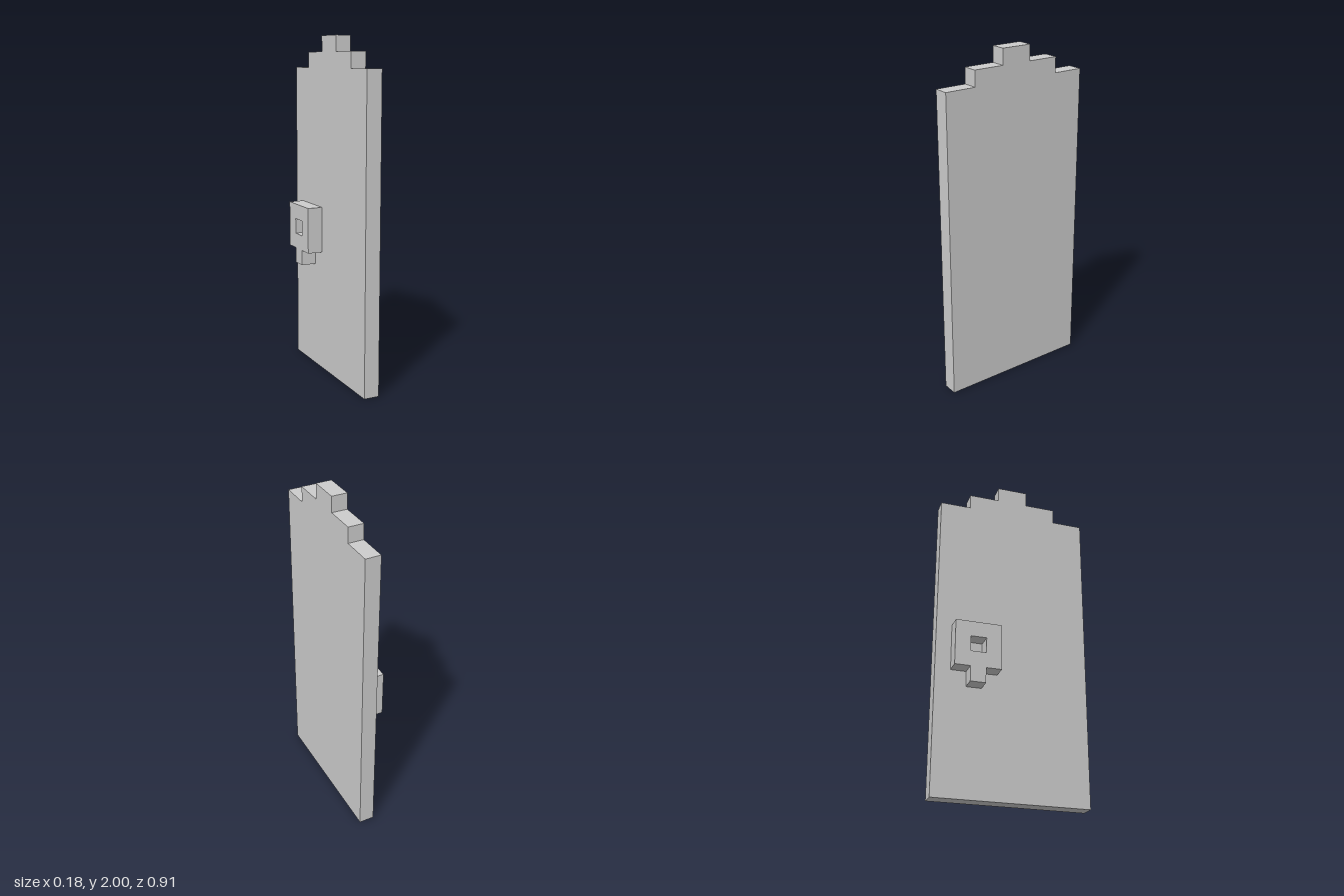
import * as THREE from 'three';

const U = 1 / 11; // one block of the stepped grid

// Outline given in blocks as [-z, y], extruded one block thick along x
function slab(name, outline, x, hole) {
  const toPoints = (list) => list.map(([u, y]) => new THREE.Vector2(u * U, y * U));
  const shape = new THREE.Shape(toPoints(outline));
  if (hole) shape.holes.push(new THREE.Path(toPoints(hole)));
  const geometry = new THREE.ExtrudeGeometry(shape, { depth: U, bevelEnabled: false });
  geometry.rotateY(Math.PI / 2);
  const mesh = new THREE.Mesh(
    geometry,
    new THREE.MeshStandardMaterial({ color: 0xcccccc, flatShading: true })
  );
  mesh.name = name;
  mesh.position.x = x;
  return mesh;
}

export function createModel() {
  const model = new THREE.Group();
  model.name = 'door';

  // Tall door leaf with a stepped top, mirrored about its centre
  const half = [[5, 0], [5, 20], [3, 20], [3, 21], [1, 21], [1, 22]];
  const mirrored = half.map(([u, y]) => [-u, y]).reverse();
  model.add(slab('doorLeaf', [...half, ...mirrored], 0));

  // Square lock plate with a central keyhole and a small tab below
  model.add(slab(
    'lockPlate',
    [[1, 8], [2, 8], [2, 7], [3, 7], [3, 8], [4, 8], [4, 11], [1, 11]],
    -U,
    [[2, 9], [2, 10], [3, 10], [3, 9]]
  ));

  return model;
}
